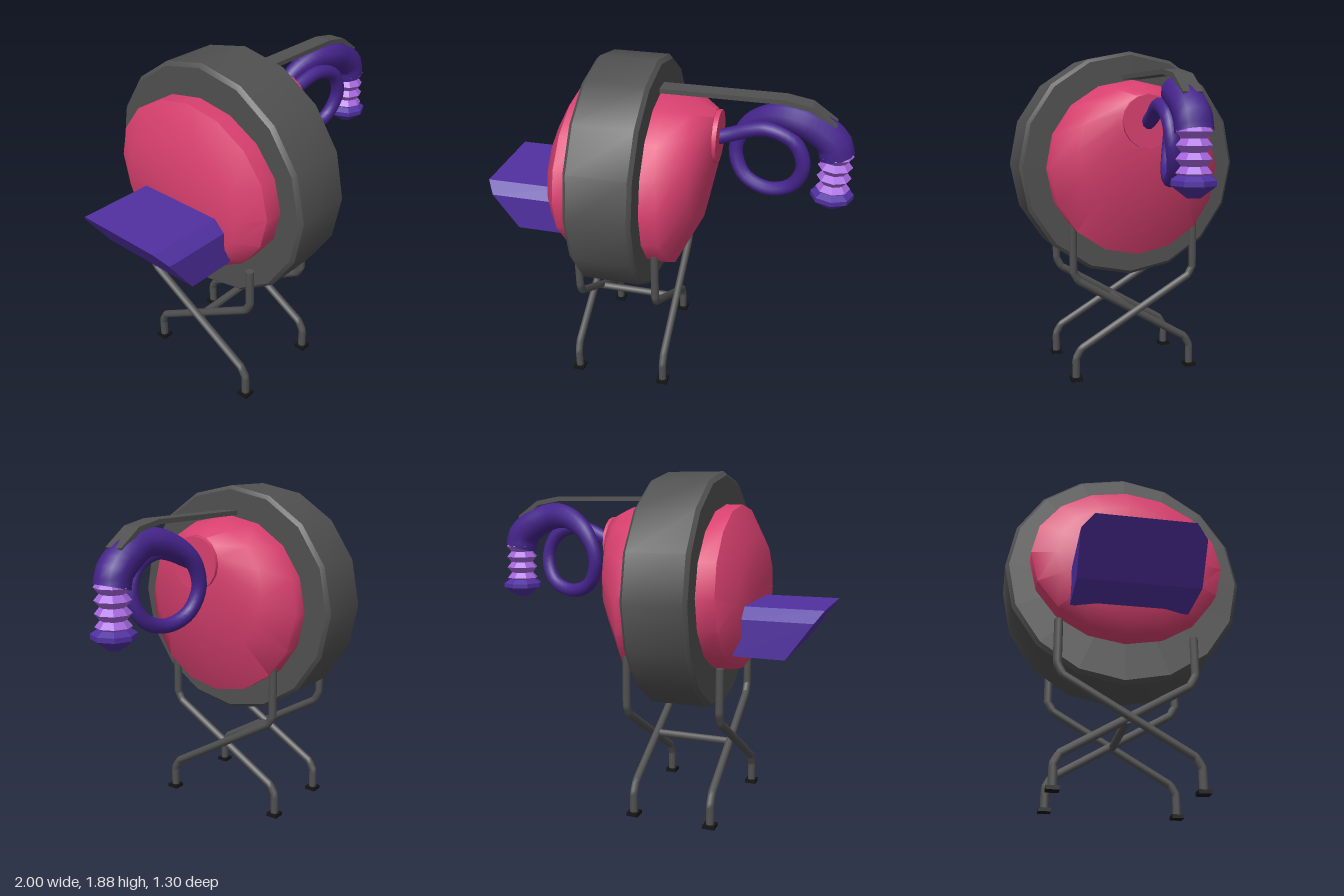
import * as THREE from 'three';
import { toCreasedNormals } from 'three/addons/utils/BufferGeometryUtils.js';

const mat = (name, color) => {
  const m = new THREE.MeshStandardMaterial({ color });
  m.name = name;
  return m;
};

// Capped loft along x through ellipses [xTop, xBottom, centreY, radiusY, radiusZ]
function loft(sections, sides, crease) {
  const pos = [], index = [];
  const last = sections.length - 1;
  for (const [xt, xb, cy, ry, rz] of sections) {
    for (let j = 0; j < sides; j++) {
      const a = (j / sides) * Math.PI * 2;
      const t = (1 - Math.cos(a)) / 2;
      pos.push(xt + (xb - xt) * t, cy + ry * Math.cos(a), rz * Math.sin(a));
    }
  }
  const c0 = pos.length / 3;
  for (const s of [sections[0], sections[last]]) pos.push((s[0] + s[1]) / 2, s[2], 0);
  for (let j = 0; j < sides; j++) {
    const k = (j + 1) % sides;
    for (let i = 0; i < last; i++) {
      const a = i * sides + j, b = a + sides, c = i * sides + k, d = c + sides;
      index.push(a, c, b, b, c, d);
    }
    index.push(c0, k, j, c0 + 1, last * sides + j, last * sides + k);
  }
  const g = new THREE.BufferGeometry();
  g.setAttribute('position', new THREE.Float32BufferAttribute(pos, 3));
  g.setIndex(index);
  return toCreasedNormals(g, crease);
}

export function createModel() {
  const model = new THREE.Group();
  const pink = mat('pink', 0xd8406f);
  const grey = mat('dark grey', 0x505050);
  const purple = mat('purple', 0x5030a0);
  const hosePurple = mat('deep purple', 0x45248c);
  const lilac = mat('lilac', 0xa566dc);
  const black = mat('black', 0x141414);
  const add = (name, geometry, material, parent = model) => {
    const m = new THREE.Mesh(geometry, material);
    m.name = name;
    parent.add(m);
    return m;
  };

  // Big upright ring with slightly bevelled rims
  const cy = 1.235;
  add('ring', loft([
    [-0.41, -0.41, cy, 0.63, 0.63], [-0.39, -0.39, cy, 0.65, 0.65],
    [-0.075, -0.075, cy, 0.65, 0.65], [-0.055, -0.055, cy, 0.63, 0.63],
  ], 16, 0.5), grey);

  // Drum halves either side of the ring
  add('rearDrum', loft([
    [-0.59, -0.59, 1.225, 0.325, 0.39], [-0.5, -0.52, 1.26, 0.45, 0.52],
    [-0.4, -0.4, 1.26, 0.45, 0.52],
  ], 16, 1.0), pink);
  add('frontDrum', loft([
    [-0.06, -0.06, 1.228, 0.495, 0.5], [0, 0.07, 1.225, 0.495, 0.5],
    [0.14, 0.19, 1.335, 0.355, 0.37], [0.24, 0.255, 1.47, 0.17, 0.17],
  ], 16, 1.0), pink);
  add('hosePlate', loft([
    [0.235, 0.235, 1.49, 0.145, 0.145], [0.267, 0.267, 1.49, 0.145, 0.145],
  ], 16, 0.5), pink);

  // Chute with chamfered top edges and a raked end
  const section = new THREE.Shape([
    [-0.31, 0.94], [0.31, 0.94], [0.31, 1.135], [0.25, 1.195], [-0.25, 1.195], [-0.31, 1.135],
  ].map(p => new THREE.Vector2(...p)));
  const chute = new THREE.ExtrudeGeometry(section, { depth: 0.45, bevelEnabled: false });
  chute.rotateY(-Math.PI / 2);
  const cp = chute.attributes.position;
  for (let i = 0; i < cp.count; i++) {
    cp.setX(i, cp.getX(i) < -0.2 ? -1 + (1.195 - cp.getY(i)) * 0.706 : -0.55);
  }
  chute.computeVertexNormals();
  add('chute', chute, purple);

  // Flat overhead arm
  const arm = new THREE.ExtrudeGeometry(new THREE.Shape([
    [-0.06, 1.725], [0.59, 1.725], [0.73, 1.7], [0.855, 1.615],
    [0.87, 1.635], [0.74, 1.725], [0.6, 1.75], [-0.06, 1.75],
  ].map(p => new THREE.Vector2(...p))), { depth: 0.1, bevelEnabled: false });
  arm.translate(0, 0, -0.05);
  add('overheadArm', arm, grey);

  // Looping hose that swells towards the nozzle
  const path = new THREE.CatmullRomCurve3([
    [0.25, 1.485, 0], [0.33, 1.515, 0.005], [0.43, 1.557, 0.02], [0.53, 1.575, 0.035],
    [0.665, 1.52, 0.045], [0.72, 1.385, 0.04], [0.665, 1.25, 0.01], [0.53, 1.2, -0.02],
    [0.395, 1.25, -0.06], [0.34, 1.385, -0.09], [0.4, 1.54, -0.085], [0.54, 1.628, -0.035],
    [0.67, 1.635, 0], [0.79, 1.585, 0], [0.865, 1.52, 0], [0.885, 1.45, 0],
  ].map(p => new THREE.Vector3(...p)));
  const steps = 56, sides = 10, r = 0.04;
  const hose = new THREE.TubeGeometry(path, steps, r, sides);
  const hp = hose.attributes.position, v = new THREE.Vector3();
  for (let i = 0; i <= steps; i++) {
    const centre = path.getPointAt(i / steps);
    const swell = (r + 0.053 * THREE.MathUtils.smoothstep(i / steps, 0.6, 0.97)) / r;
    for (let j = 0; j <= sides; j++) {
      const k = i * (sides + 1) + j;
      v.fromBufferAttribute(hp, k).sub(centre).multiplyScalar(swell).add(centre);
      hp.setXYZ(k, v.x, v.y, v.z);
    }
  }
  add('hose', hose, hosePurple);

  // Bellows and nozzle tip
  const lathe = points => toCreasedNormals(
    new THREE.LatheGeometry(points.map(p => new THREE.Vector2(...p)), 8), 0.3);
  const bellows = [[0, 1.24], [0.065, 1.24]];
  for (let i = 0; i < 4; i++) {
    bellows.push([0.092, 1.262 + i * 0.064], [0.065, 1.294 + i * 0.064]);
  }
  bellows.push([0, 1.486]);
  add('bellows', lathe(bellows), lilac).position.x = 0.885;
  add('nozzleTip', lathe([[0, 1.145], [0.035, 1.145], [0.115, 1.205], [0.115, 1.23],
    [0.075, 1.255], [0, 1.255]]), purple).position.x = 0.885;

  // Crossed tube legs: [x, side of foot, top height]
  const legs = new THREE.Group();
  legs.name = 'legs';
  model.add(legs);
  for (const [x, s, top] of [[-0.497, 1, 0.88], [-0.455, -1, 0.85], [0.03, 1, 0.91], [-0.01, -1, 0.91]]) {
    const pts = [[top, -0.36], [0.63, -0.36], [0.575, -0.33], [0.185, 0.33], [0.13, 0.36], [0.01, 0.36]]
      .map(([y, z]) => new THREE.Vector3(x, y, z * s));
    const tube = new THREE.CurvePath();
    for (let i = 1; i < pts.length; i++) tube.add(new THREE.LineCurve3(pts[i - 1], pts[i]));
    add('leg', new THREE.TubeGeometry(tube, 60, 0.023, 8), grey, legs);
    const cap = add('legTop', new THREE.CircleGeometry(0.023, 8), grey, legs);
    cap.rotation.x = -Math.PI / 2;
    cap.position.copy(pts[0]);
    const foot = add('foot', new THREE.BoxGeometry(0.066, 0.02, 0.066), black, legs);
    foot.position.set(x, 0.01, 0.36 * s);
  }
  const bar = add('crossBar', new THREE.CylinderGeometry(0.022, 0.022, 0.46, 8), grey, legs);
  bar.rotation.z = Math.PI / 2;
  bar.position.set(-0.235, 0.372, 0);
  return model;
}
